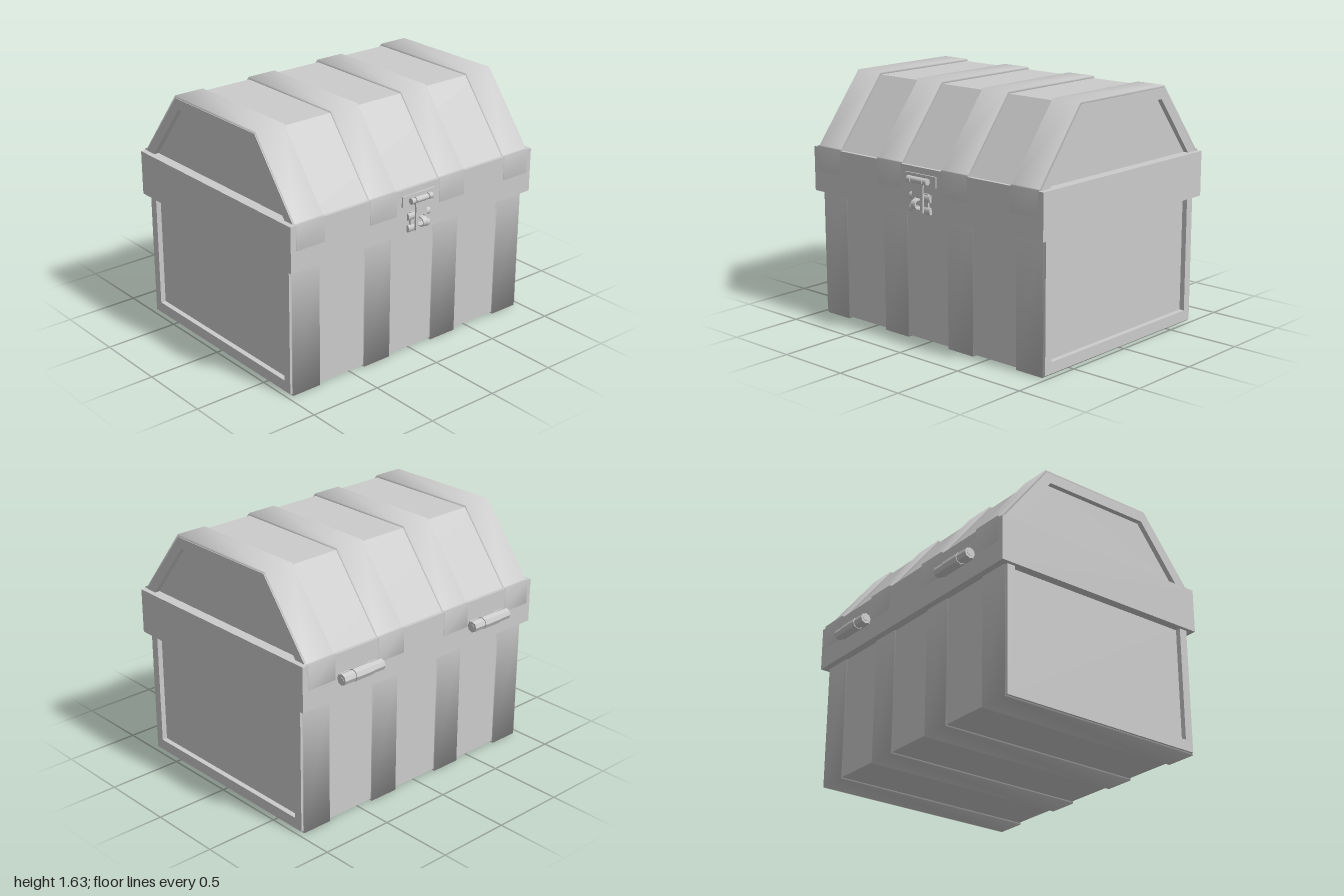
import * as THREE from 'three';

const smooth = new THREE.MeshStandardMaterial({ color: 0xcccccc });
const flat = new THREE.MeshStandardMaterial({ color: 0xcccccc, flatShading: true });

function add(parent, name, geometry, x = 0, y = 0, z = 0, material = flat) {
  const mesh = new THREE.Mesh(geometry, material);
  mesh.name = name;
  mesh.position.set(x, y, z);
  parent.add(mesh);
  return mesh;
}

const box = (w, h, d) => new THREE.BoxGeometry(w, h, d);
const rod = (r, length, sides) => new THREE.CylinderGeometry(r, r, length, sides).rotateZ(Math.PI / 2);
const toPoints = (list) => list.map(([z, y]) => new THREE.Vector2(z, y));

// Prism along x from a (z, y) outline, with an optional opening
function prism(outline, opening, width) {
  const shape = new THREE.Shape(toPoints(outline));
  if (opening) shape.holes.push(new THREE.Path(toPoints(opening)));
  return new THREE.ExtrudeGeometry(shape, { depth: width, bevelEnabled: false })
    .translate(0, 0, -width / 2).rotateY(-Math.PI / 2);
}

// Solid core with a raised frame at each end, leaving sunken end panels
function panelled(parent, name, outline, opening, halfWidth, recess) {
  add(parent, name + 'Core', prism(outline, null, 2 * (halfWidth - recess)));
  for (const side of [-1, 1]) {
    add(parent, name + 'EndFrame', prism(outline, opening, recess), side * (halfWidth - recess / 2));
  }
}

// Flat strap following a (z, y) path, with normals shared across its bends
function strapGeometry(outer, inner, width) {
  const positions = [], index = [], h = width / 2;
  outer.forEach(([z, y], i) => {
    const [iz, iy] = inner[i];
    positions.push(-h, y, z, h, y, z, h, iy, iz, -h, iy, iz);
  });
  const quad = (a, b, c, d) => index.push(a, b, c, a, c, d);
  const last = (outer.length - 1) * 4;
  for (let i = 0; i < last; i += 4) {
    for (let k = 0; k < 4; k++) {
      const n = (k + 1) % 4;
      quad(i + k, i + n, i + 4 + n, i + 4 + k);
    }
  }
  quad(0, 3, 2, 1);
  quad(last, last + 1, last + 2, last + 3);
  const g = new THREE.BufferGeometry();
  g.setAttribute('position', new THREE.Float32BufferAttribute(positions, 3));
  g.setIndex(index);
  g.computeVertexNormals();
  return g;
}

// Completes a front half path with its mirrored back half
const mirrored = (half) => [...half, ...half.slice().reverse().map(([z, y]) => [-z, y])];

function hinge(x) {
  const g = new THREE.Group();
  g.name = 'hinge';
  g.position.set(x, 1.0, -0.83);
  add(g, 'hingeMiddleKnuckle', rod(0.041, 0.145, 8));
  for (const s of [-1, 1]) {
    add(g, 'hingeOuterKnuckle', rod(0.037, 0.09, 8), s * 0.119);
    add(g, 'hingePinHead', rod(0.02, 0.01, 8), s * 0.162);
  }
  add(g, 'hingeLeaf', box(0.3, 0.05, 0.05), 0, 0, 0.03);
  return g;
}

function latch() {
  const g = new THREE.Group();
  g.name = 'latch';
  // Upper plate with pivot pin
  add(g, 'latchUpperPlate', box(0.27, 0.07, 0.016), 0, 1.08, 0.795);
  add(g, 'latchPin', rod(0.013, 0.17, 10), 0, 1.08, 0.822, smooth);
  for (const s of [-1, 1]) {
    add(g, 'latchPinKnuckle', rod(0.021, 0.028, 10), s * 0.072, 1.08, 0.822, smooth);
  }
  add(g, 'latchHaspKnuckle', rod(0.02, 0.1, 10), 0, 1.08, 0.822, smooth);
  // Hanging hasp with a slot
  const hasp = new THREE.Shape(toPoints([[-0.045, 0.875], [0.045, 0.875], [0.045, 1.03],
    [0.055, 1.08], [-0.055, 1.08], [-0.045, 1.03]]));
  hasp.holes.push(new THREE.Path(toPoints([[-0.024, 0.895], [-0.024, 0.97], [0.024, 0.97], [0.024, 0.895]])));
  add(g, 'latchHasp', new THREE.ExtrudeGeometry(hasp, { depth: 0.012, bevelEnabled: false }), 0, 0, 0.816);
  // Lower plate with rolled edges
  add(g, 'latchLowerPlate', box(0.14, 0.13, 0.016), 0, 0.932, 0.795);
  for (const y of [0.889, 0.968]) {
    const roll = add(g, 'latchLowerRoll', rod(0.024, 0.18, 10), 0, y, 0.798, smooth);
    roll.scale.z = 0.65;
  }
  // Staple passing through the hasp
  const staple = new THREE.Shape();
  staple.moveTo(0.79, 0.898);
  staple.lineTo(0.838, 0.898);
  staple.absarc(0.838, 0.93, 0.032, -Math.PI / 2, Math.PI / 2, false);
  staple.lineTo(0.79, 0.962);
  staple.lineTo(0.79, 0.954);
  staple.lineTo(0.838, 0.954);
  staple.absarc(0.838, 0.93, 0.024, Math.PI / 2, -Math.PI / 2, true);
  staple.lineTo(0.79, 0.906);
  add(g, 'latchStaple', new THREE.ExtrudeGeometry(staple, { depth: 0.038, bevelEnabled: false, curveSegments: 8 })
    .translate(0, 0, -0.019).rotateY(-Math.PI / 2));
  return g;
}

export function createModel() {
  const chest = new THREE.Group();
  chest.name = 'chest';

  // Lower body
  panelled(chest, 'body',
    [[-0.738, 0.012], [0.738, 0.012], [0.738, 0.9], [-0.738, 0.9]],
    [[-0.68, 0.085], [-0.68, 0.88], [0.68, 0.88], [0.68, 0.085]], 0.975, 0.035);

  // Rim between body and lid
  add(chest, 'rim', box(2, 0.3, 1.585), 0, 1.005, 0);

  // Lid with sloping front and back
  panelled(chest, 'lid',
    [[-0.77, 1.12], [0.77, 1.12], [0.77, 1.155], [0.413, 1.615], [-0.413, 1.615], [-0.77, 1.155]],
    [[-0.71, 1.13], [-0.385, 1.545], [0.385, 1.545], [0.71, 1.13]], 0.965, 0.035);

  // Straps
  const lidStrap = strapGeometry(
    mirrored([[0.8, 0.995], [0.8, 1.163], [0.782, 1.165], [0.42, 1.63]]),
    mirrored([[0.77, 0.995], [0.77, 1.13], [0.75, 1.14], [0.4, 1.6]]), 0.21);
  const bodyStrap = strapGeometry(
    [[-0.748, 0.87], [-0.748, 0], [0.748, 0], [0.748, 0.87]],
    [[-0.72, 0.87], [-0.72, 0.03], [0.72, 0.03], [0.72, 0.87]], 0.21);
  for (const x of [-0.855, -0.285, 0.285, 0.855]) {
    add(chest, 'lidStrap', lidStrap, x, 0, 0, smooth);
    add(chest, 'bodyStrap', bodyStrap, x, 0, 0, smooth);
  }

  // Hardware
  chest.add(hinge(-0.565), hinge(0.565), latch());
  return chest;
}
